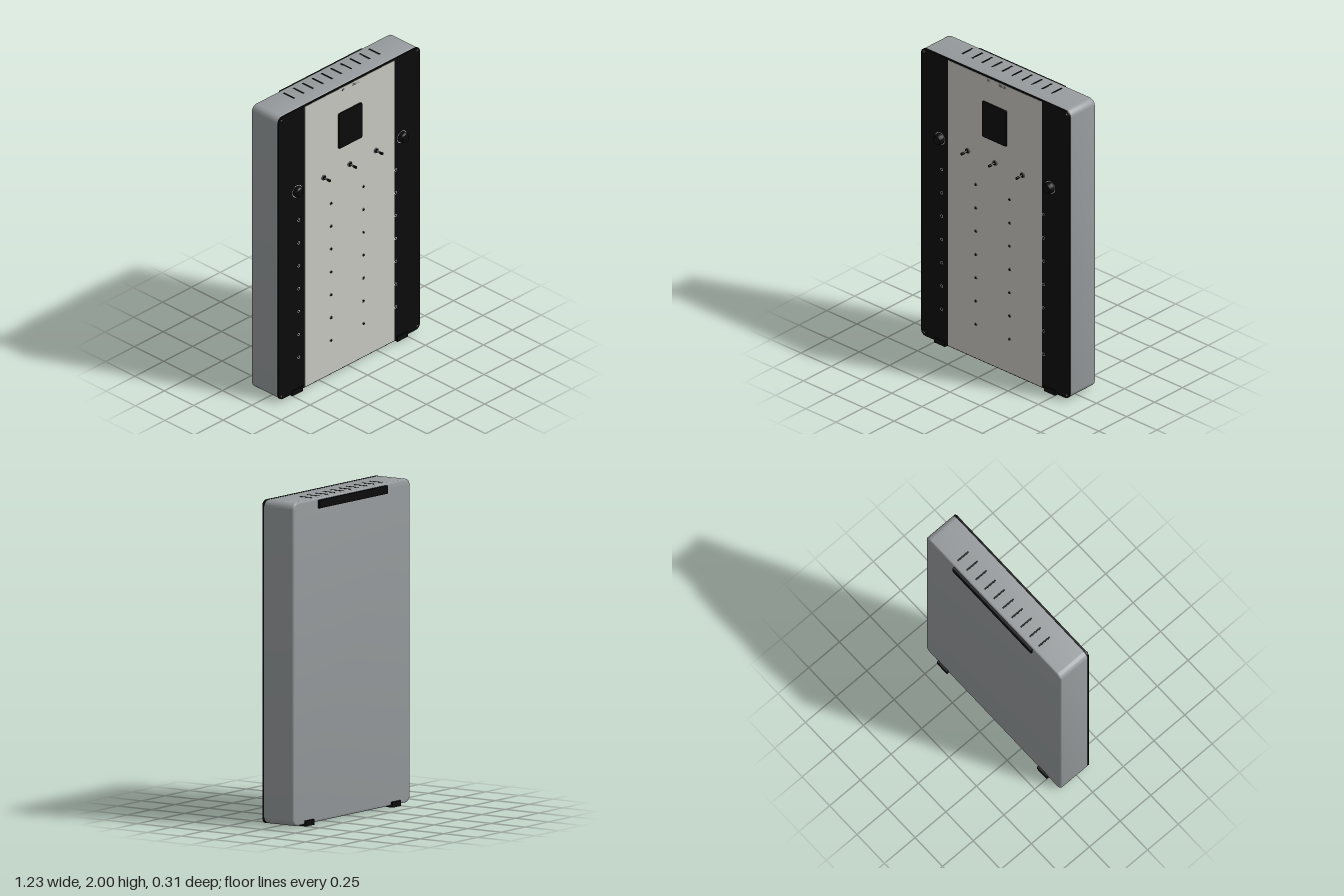
import * as THREE from 'three';
import { toCreasedNormals } from 'three/addons/utils/BufferGeometryUtils.js';

const paint = (name, color) => {
  const m = new THREE.MeshStandardMaterial({ color });
  m.name = name;
  return m;
};

// Rounded rectangle centred on the origin
function roundedRect(w, h, r) {
  const s = new THREE.Shape(), x = w / 2, y = h / 2, q = Math.PI / 2;
  s.moveTo(-x + r, -y);
  s.lineTo(x - r, -y);
  s.absarc(x - r, -y + r, r, -q, 0, false);
  s.absarc(x - r, y - r, r, 0, q, false);
  s.absarc(-x + r, y - r, r, q, 2 * q, false);
  s.absarc(-x + r, -y + r, r, 2 * q, 3 * q, false);
  return s;
}

// Rounded slab from z0 to z1 with an optional bevel
function slab(w, h, r, z0, z1, bevel = 0) {
  const g = new THREE.ExtrudeGeometry(roundedRect(w - 2 * bevel, h - 2 * bevel, r - bevel), {
    depth: z1 - z0 - 2 * bevel, curveSegments: 6,
    bevelEnabled: bevel > 0, bevelSize: bevel, bevelThickness: bevel, bevelSegments: 3,
  });
  g.translate(0, 0, z0 + bevel);
  return toCreasedNormals(g, 0.6);
}

export function createModel() {
  const group = new THREE.Group();
  const grey = paint('case grey', 0x979b9d);
  const black = paint('black', 0x0b0b0b);
  const cream = paint('panel light grey', 0xcac9c4);
  const metal = paint('metal', 0x8a8a8a);
  const white = paint('marking white', 0xd8d8d8);

  const add = (name, geo, mat, x = 0, y = 0, z = 0) => {
    const m = new THREE.Mesh(geo, mat);
    m.name = name;
    m.position.set(x, y, z);
    group.add(m);
    return m;
  };
  // Disc or post pointing forward, with its back at z0
  const post = (name, r0, r1, z0, z1, mat, x, y, seg = 20) => {
    const g = new THREE.CylinderGeometry(r1, r0, z1 - z0, seg);
    g.rotateX(Math.PI / 2);
    return add(name, g, mat, x, y, (z0 + z1) / 2);
  };
  const ring = (name, inner, outer, x, y, z, mat) =>
    add(name, new THREE.RingGeometry(inner, outer, 40), mat, x, y, z);

  // Case and front face
  add('case', slab(1.23, 1.99, 0.045, -0.139, 0.086, 0.012), grey, 0, 1.005);
  add('frontPlate', slab(1.226, 1.988, 0.035, 0.083, 0.094), black, 0, 1.005);
  add('centrePanel', new THREE.BoxGeometry(0.776, 1.975, 0.004), cream, 0, 1.004, 0.094);
  add('display', slab(0.2, 0.245, 0.008, 0.095, 0.106), black, 0, 1.698);

  // Small indicator marks above the display
  add('indicatorMark', new THREE.BoxGeometry(0.018, 0.012, 0.002), metal, -0.055, 1.972, 0.0965);
  for (const y of [1.968, 1.977])
    add('indicatorMark', new THREE.BoxGeometry(0.06, 0.003, 0.002), metal, 0.055, y, 0.0965);

  // Large knobs with rings, feet and corner screws on both sides
  for (const s of [-1, 1]) {
    const kx = s * 0.455;
    ring('knobRing', 0.037, 0.041, kx, 1.425, 0.0955, white);
    post('knobBase', 0.034, 0.034, 0.094, 0.118, black, kx, 1.425, 32);
    post('knobCap', 0.034, 0.027, 0.118, 0.13, black, kx, 1.425, 32);

    add('frontFoot', new THREE.BoxGeometry(0.09, 0.034, 0.05), black, s * 0.455, 0.017, 0.077);
    add('backFoot', new THREE.BoxGeometry(0.09, 0.034, 0.05), black, s * 0.455, 0.017, -0.127);

    for (const y of [0.032, 1.976]) {
      post('screw', 0.008, 0.006, 0.093, 0.1, metal, s * 0.59, y, 12);
      post('screwSocket', 0.004, 0.004, 0.099, 0.101, black, s * 0.59, y, 6);
    }
  }

  // Toggle switches
  for (const x of [-0.226, 0, 0.228]) {
    post('switchWasher', 0.017, 0.017, 0.095, 0.102, metal, x, 1.425);
    post('switchNut', 0.014, 0.014, 0.102, 0.106, black, x, 1.425, 6);
    post('switchStem', 0.005, 0.006, 0.104, 0.132, metal, x, 1.425, 12);
    post('switchTip', 0.008, 0.009, 0.13, 0.152, black, x, 1.423, 12);
  }

  // Rows of sockets on the panel and rings on the dark sides
  for (let i = 0; i < 7; i++) {
    const y = 1.215 - i * 0.1612;
    for (const x of [-0.16, 0.12]) {
      post('socketCollar', 0.01, 0.009, 0.095, 0.098, metal, x, y, 12);
      post('socket', 0.008, 0.008, 0.097, 0.1, black, x, y, 12);
    }
    for (const x of [-0.441, 0.4]) ring('sideRing', 0.0075, 0.0105, x, y, 0.0965, white);
  }

  // Vent slots on the top
  for (let i = 0; i < 10; i++)
    add('ventSlot', new THREE.BoxGeometry(0.011, 0.004, 0.09), black, -0.37 + i * 0.0822, 1.9995, -0.056);

  // Bar on the back
  add('backBar', new THREE.BoxGeometry(0.715, 0.05, 0.02), black, 0, 1.963, -0.144);

  return group;
}
